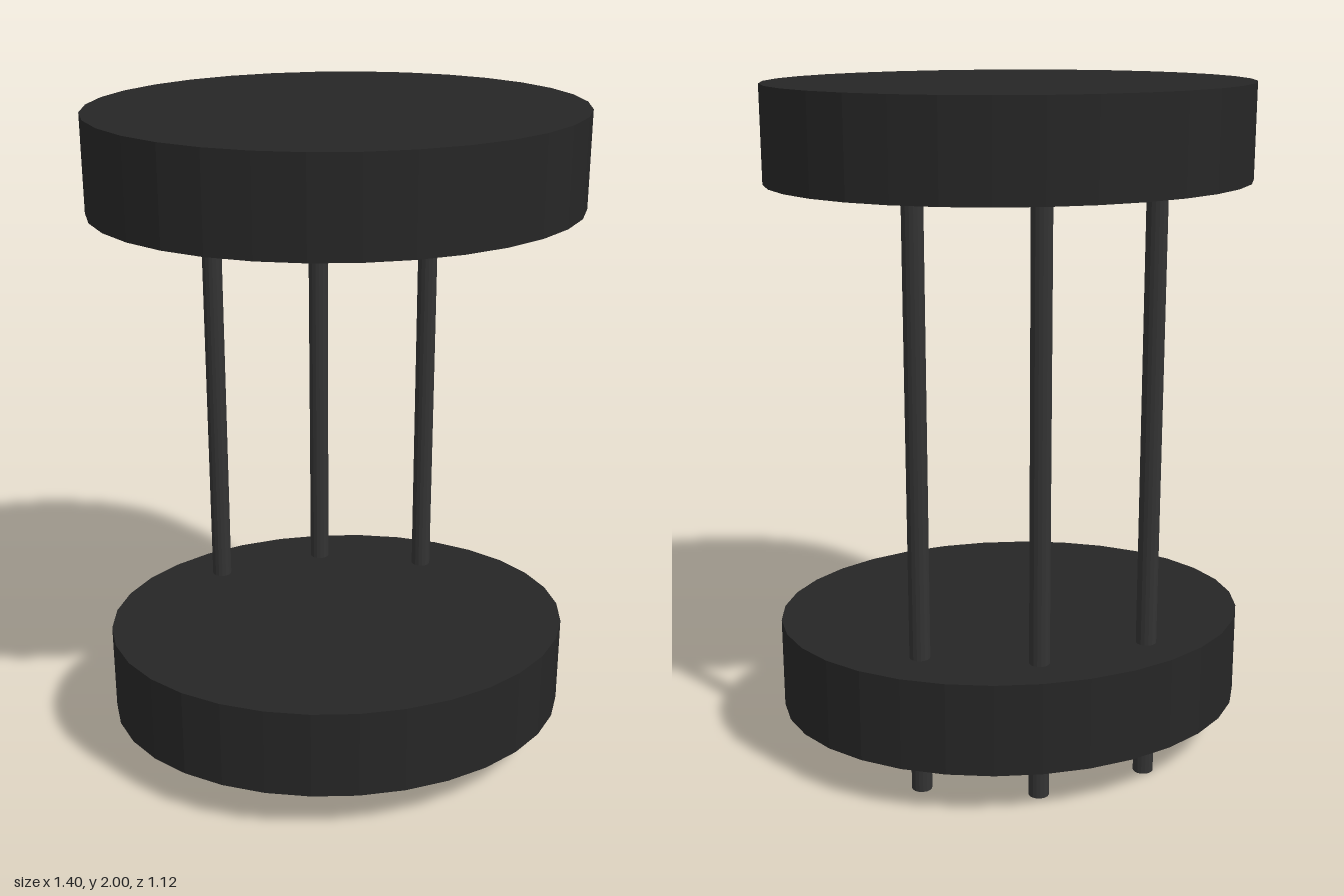
import * as THREE from 'three';

export function createModel() {
  const model = new THREE.Group();
  const discMaterial = new THREE.MeshStandardMaterial({ color: 0x262626, flatShading: true });
  const rodMaterial = new THREE.MeshStandardMaterial({ color: 0x333333, flatShading: true });

  // Two equal oval discs, the base and the top
  const discGeometry = new THREE.CylinderGeometry(0.7, 0.7, 0.276, 32);
  discGeometry.scale(1, 1, 0.8);
  for (const [name, y] of [['baseDisc', 0.276], ['topDisc', 1.862]]) {
    const disc = new THREE.Mesh(discGeometry, discMaterial);
    disc.name = name;
    disc.position.y = y;
    model.add(disc);
  }

  // Three rods near the back edge, passing through the base into the top
  const rodHeight = 1.76;
  const rodGeometry = new THREE.CylinderGeometry(0.03, 0.03, rodHeight, 16);
  const rods = [
    ['rightRod', -0.347, -0.33],
    ['middleRod', -0.014, -0.422],
    ['leftRod', 0.316, -0.33],
  ];
  for (const [name, x, z] of rods) {
    const rod = new THREE.Mesh(rodGeometry, rodMaterial);
    rod.name = name;
    rod.position.set(x, rodHeight / 2, z);
    model.add(rod);
  }
  return model;
}
